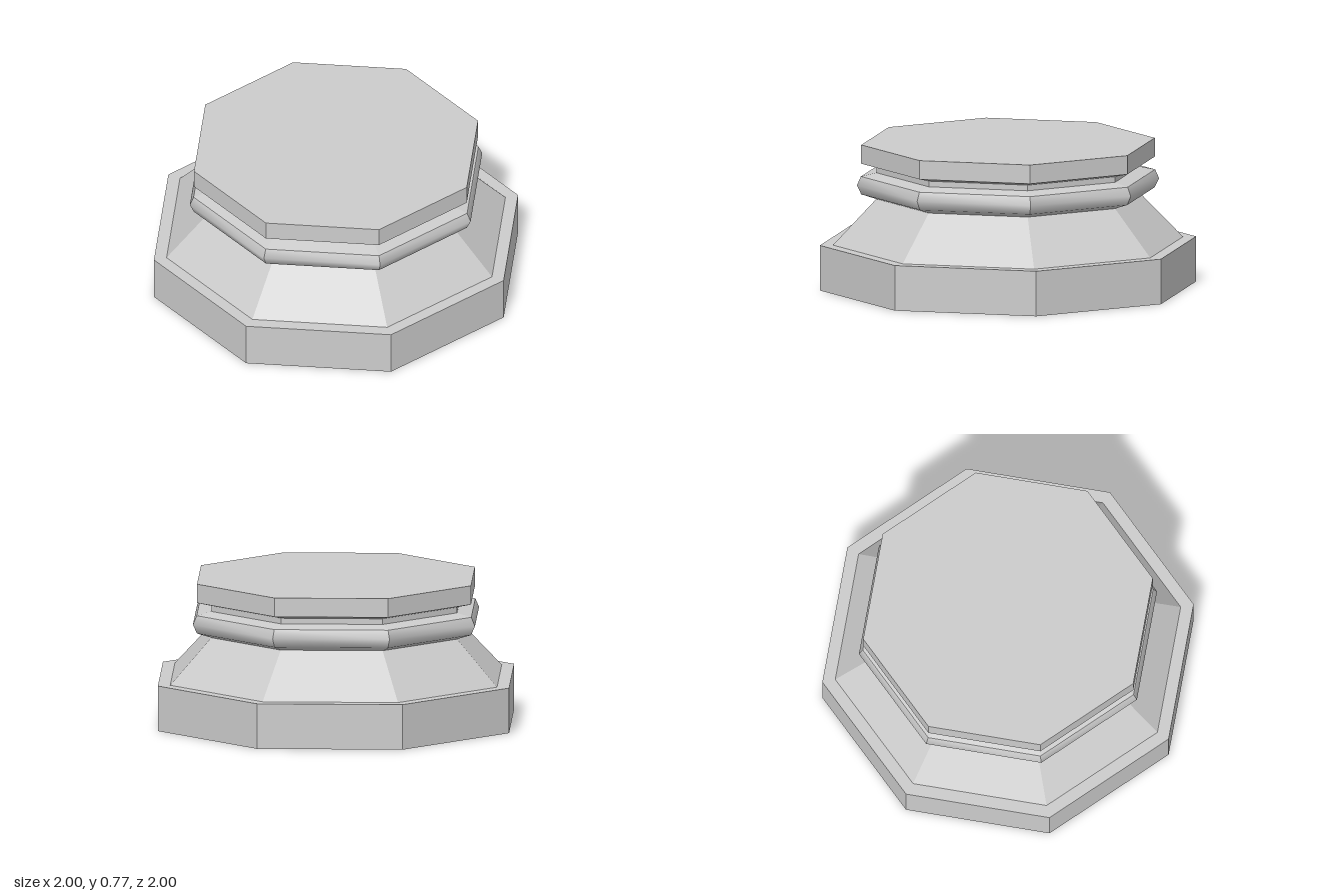
import * as THREE from 'three';
import { mergeGeometries, toCreasedNormals } from 'three/addons/utils/BufferGeometryUtils.js';

const SIDES = 8;
const toPoints = (profile) => profile.map(([r, y]) => new THREE.Vector2(r, y));

// Eight-sided ring from a [radius, height] profile: sharp corners around, smooth along the profile
function octagon(name, profile, material) {
  const step = (Math.PI * 2) / SIDES;
  const sector = toCreasedNormals(new THREE.LatheGeometry(toPoints(profile), 1, 0, step), 1.1);
  const sectors = [];
  for (let i = 0; i < SIDES; i++) sectors.push(sector.clone().rotateY(i * step));
  const mesh = new THREE.Mesh(mergeGeometries(sectors), material);
  mesh.name = name;
  return mesh;
}

export function createModel() {
  const group = new THREE.Group();
  group.name = 'pedestal';
  const grey = new THREE.MeshStandardMaterial({ color: 0xcccccc, side: THREE.DoubleSide });

  // Plinth walls and top
  group.add(octagon('plinth', [[1, 0], [1, 0.24], [0, 0.24]], grey));
  // Shallow, smoothly shaded hollow under the plinth
  const hollow = new THREE.LatheGeometry(toPoints([[0, 0.1], [0.5, 0.05], [1, 0]]), SIDES);
  const underside = new THREE.Mesh(hollow, grey);
  underside.name = 'underside';
  group.add(underside);
  // Sloping body, its foot sunk slightly into the plinth
  group.add(octagon('slope', [[0.94, 0.23], [0.7, 0.48]], grey));
  // Moulding: rounded face below a flat sloping top
  group.add(octagon('moulding', [[0.7, 0.48], [0.78, 0.507], [0.803, 0.555], [0.782, 0.602]], grey));
  group.add(octagon('mouldingTop', [[0.782, 0.602], [0.7, 0.62]], grey));
  // Recessed neck
  group.add(octagon('neck', [[0.7, 0.62], [0.7, 0.65]], grey));
  // Cap slab with chamfered underside
  group.add(octagon('capUnderside', [[0.7, 0.65], [0.78, 0.67]], grey));
  group.add(octagon('capSlab', [[0.78, 0.67], [0.78, 0.77], [0, 0.77]], grey));
  return group;
}
